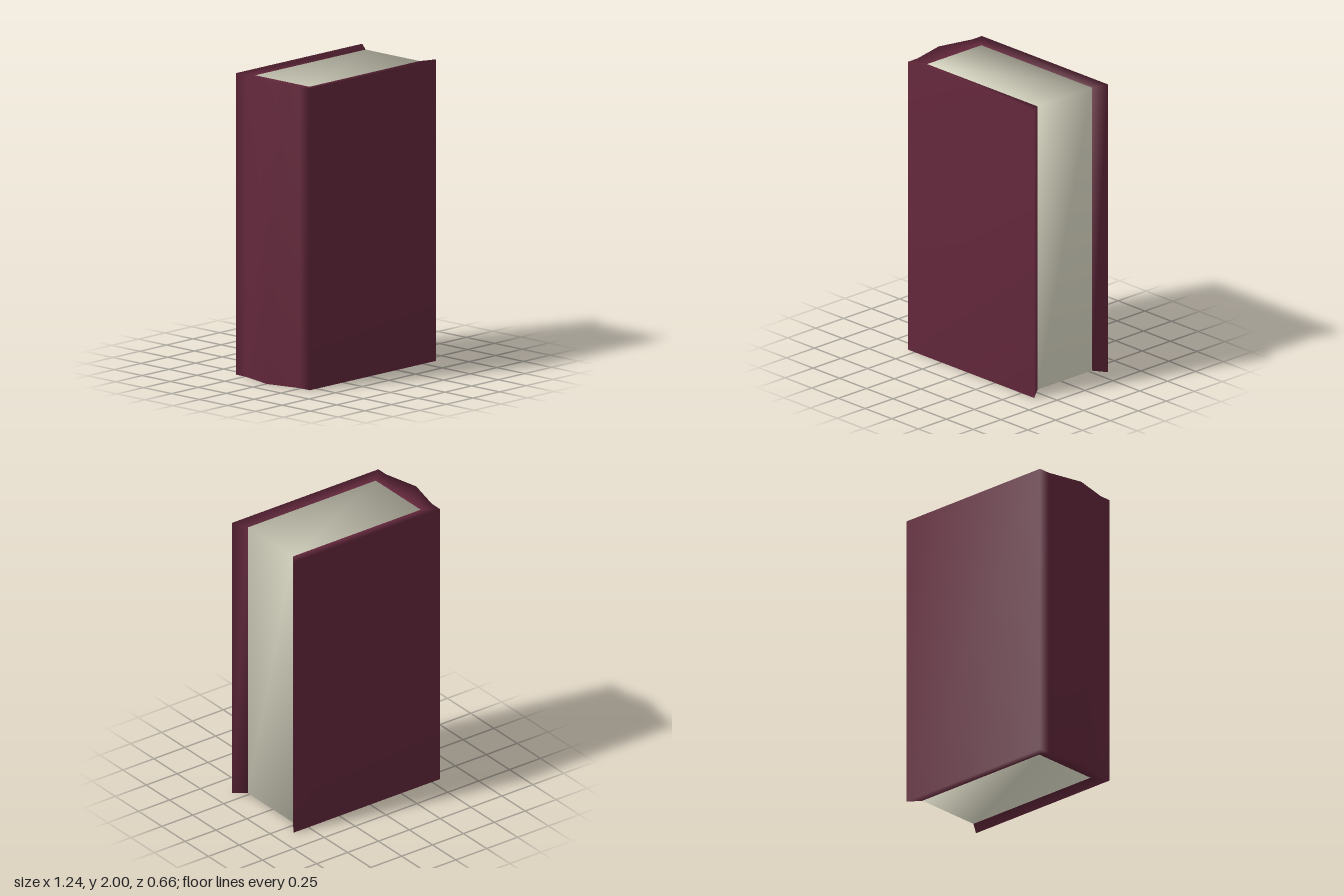
import * as THREE from 'three';
import { mergeVertices } from 'three/addons/utils/BufferGeometryUtils.js';

// Page block extents
const PX0 = -0.475, PX1 = 0.56, PZ = 0.242, PY0 = 0.018, PY1 = 1.985;

// Hard cover: an outer outline joined to the rim around the pages
function coverGeometry() {
  const outer = [[0.62, 0.33], [-0.563, 0.33], [-0.563, 0.245], [-0.622, 0],
    [-0.563, -0.245], [-0.563, -0.33], [0.62, -0.33]];
  const inner = [[PX1, PZ], [PX0, PZ], [PX0, 0], [PX0, -PZ], [PX1, -PZ]];
  const rim = [0, 1, 1, 2, 3, 3, 4]; // rim point beside each outline point
  const pos = [], index = [];
  const ring = (points, y) => {
    const start = pos.length / 3;
    points.forEach(([x, z]) => pos.push(x, y, z));
    return start;
  };
  const ob = ring(outer, 0), ot = ring(outer, 2);
  const ib = ring(inner, PY0), it = ring(inner, PY1);
  const quad = (a, b, c, d) => {
    if (b !== c) index.push(a, b, c);
    index.push(a, c, d);
  };
  for (let i = 0; i < 6; i++) {
    const j = i + 1;
    quad(ob + j, ob + i, ot + i, ot + j); // outside wall
    quad(ot + i, it + rim[i], it + rim[j], ot + j); // top edge
    quad(ob + j, ib + rim[j], ib + rim[i], ob + i); // bottom edge
  }
  // Slanted front edges of the two boards
  quad(ob, ib, it, ot);
  quad(ib + 4, ob + 6, ot + 6, it + 4);
  const g = new THREE.BufferGeometry();
  g.setAttribute('position', new THREE.Float32BufferAttribute(pos, 3));
  g.setIndex(index);
  g.computeVertexNormals();
  return g;
}

// Page block with smooth shared corners
function pagesGeometry() {
  const box = new THREE.BoxGeometry(PX1 - PX0, PY1 - PY0, PZ * 2);
  box.translate((PX0 + PX1) / 2, (PY0 + PY1) / 2, 0);
  box.deleteAttribute('normal');
  box.deleteAttribute('uv');
  const g = mergeVertices(box);
  g.computeVertexNormals();
  return g;
}

export function createModel() {
  const burgundy = new THREE.MeshStandardMaterial({ color: 0x64283c });
  burgundy.name = 'burgundy';
  const cream = new THREE.MeshStandardMaterial({ color: 0xe3e1cc });
  cream.name = 'cream';

  const book = new THREE.Group();
  book.name = 'book';
  const cover = new THREE.Mesh(coverGeometry(), burgundy);
  cover.name = 'cover';
  const pages = new THREE.Mesh(pagesGeometry(), cream);
  pages.name = 'pages';
  book.add(cover, pages);
  return book;
}
